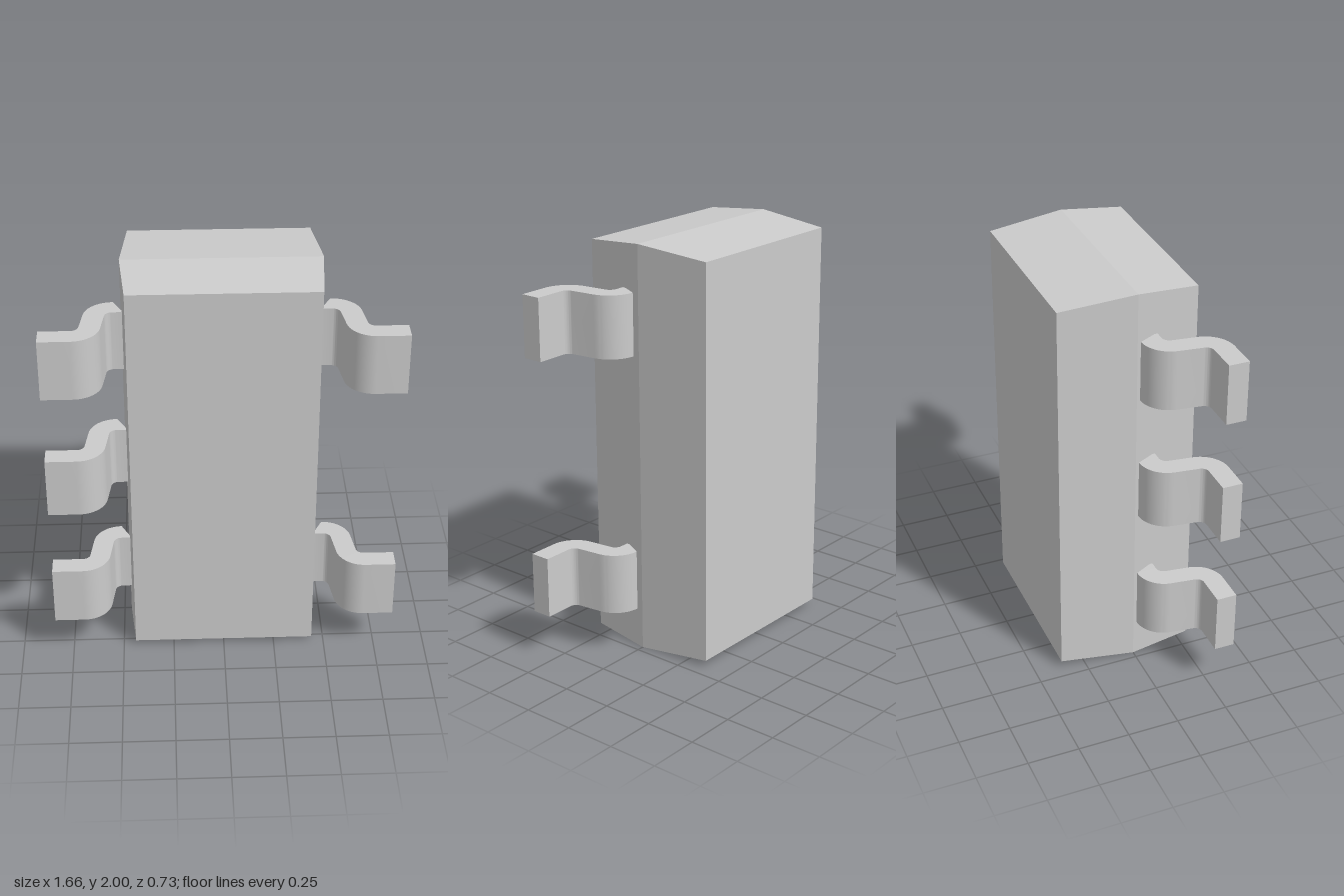
import * as THREE from 'three';
import { toCreasedNormals } from 'three/addons/utils/BufferGeometryUtils.js';

const material = new THREE.MeshStandardMaterial({ color: 0xcccccc });

// Moulded body: a box in two depth segments, widest at the parting line z = 0
function createBody() {
  const sections = [ // z, half width, bottom, top
    [-0.367, 0.433, 0.034, 1.968],
    [0, 0.465, 0, 2],
    [0.298, 0.44, 0.027, 1.974],
  ];
  const box = new THREE.BoxGeometry(2, 2, 2, 1, 1, 2);
  const p = box.attributes.position;
  for (let i = 0; i < p.count; i++) {
    const [z, halfWidth, bottom, top] = sections[Math.round(p.getZ(i)) + 1];
    p.setXYZ(i, p.getX(i) * halfWidth, p.getY(i) < 0 ? bottom : top, z);
  }
  const geometry = box.toNonIndexed();
  geometry.computeVertexNormals();
  const body = new THREE.Mesh(geometry, material);
  body.name = 'body';
  return body;
}

// Gull-wing lead: S-bent strip profile, extruded along y; side is +1 or -1
function createLeadGeometry(side) {
  const width = 0.298;
  const tilt = THREE.MathUtils.degToRad(7.5);
  const quarter = Math.PI / 2;
  const profile = new THREE.Shape();
  profile.moveTo(0.45, 0);
  profile.absarc(0.5, -0.135, 0.135, quarter, tilt, true);
  profile.absarc(0.685, -0.23, 0.036, Math.PI + tilt, 3 * quarter, false);
  profile.lineTo(0.83, -0.266);
  profile.lineTo(0.83, -0.364);
  profile.absarc(0.685, -0.23, 0.134, 3 * quarter, Math.PI + tilt, true);
  profile.absarc(0.5, -0.135, 0.037, tilt, quarter, false);
  profile.lineTo(0.45, -0.098);

  const points = profile.getPoints(10).map((v) => new THREE.Vector2(side * v.x, v.y));
  const geometry = new THREE.ExtrudeGeometry(new THREE.Shape(points), {
    depth: width, bevelEnabled: false,
  });
  geometry.translate(0, 0, -width / 2);
  geometry.rotateX(-quarter);
  return toCreasedNormals(geometry, 0.6);
}

export function createModel() {
  const model = new THREE.Group();
  model.name = 'surfaceMountPackage';
  model.add(createBody());

  // Three leads on the right (-x), two on the left (+x)
  const rows = [
    { name: 'rightLead', side: -1, heights: [0.37, 1.003, 1.635] },
    { name: 'leftLead', side: 1, heights: [0.37, 1.635] },
  ];
  for (const { name, side, heights } of rows) {
    const geometry = createLeadGeometry(side);
    heights.forEach((y, i) => {
      const lead = new THREE.Mesh(geometry, material);
      lead.name = name + (i + 1);
      lead.position.y = y;
      model.add(lead);
    });
  }
  return model;
}
